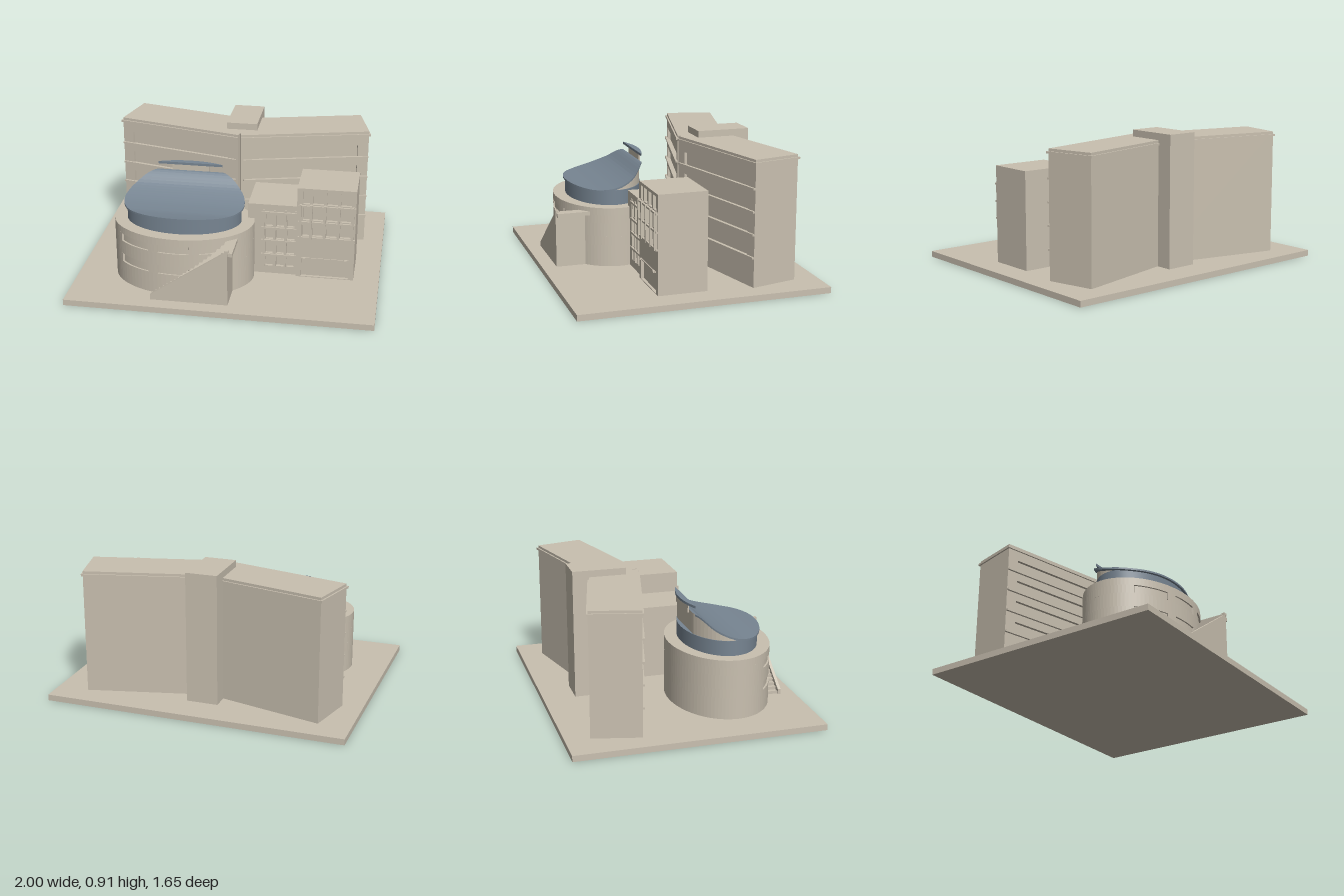
import * as THREE from 'three';

export function createModel() {
  const root = new THREE.Group();
  const stone = new THREE.MeshStandardMaterial({ color: 0xc9c0b0 });
  stone.name = 'stone';
  const glass = new THREE.MeshStandardMaterial({ color: 0x778592 });
  glass.name = 'blue grey';

  const add = (name, geo, mat = stone, parent = root) => {
    const m = new THREE.Mesh(geo, mat);
    m.name = name;
    parent.add(m);
    return m;
  };
  // box given by its extents
  const box = (name, x0, x1, y0, y1, z0, z1, parent = root, mat = stone) => {
    const m = add(name, new THREE.BoxGeometry(Math.abs(x1 - x0), y1 - y0, z1 - z0), mat, parent);
    m.position.set((x0 + x1) / 2, (y0 + y1) / 2, (z0 + z1) / 2);
    return m;
  };
  const rectPoints = (x0, x1, y0, y1) => {
    const a = Math.min(x0, x1), b = Math.max(x0, x1);
    return [[a, y0], [b, y0], [b, y1], [a, y1]].map(p => new THREE.Vector2(...p));
  };
  // upright wall plate with rectangular openings
  const wall = (name, rect, holes, z0, z1, parent = root) => {
    const s = new THREE.Shape(rectPoints(...rect));
    holes.forEach(h => s.holes.push(new THREE.Path(rectPoints(...h))));
    const g = new THREE.ExtrudeGeometry(s, { depth: z1 - z0, bevelEnabled: false });
    g.translate(0, 0, z0);
    return add(name, g, stone, parent);
  };

  box('base', -1, 1, 0, 0.04, -0.825, 0.825);

  // two office wings spread in a shallow V, with a service core behind
  const sills = [0.235, 0.385, 0.532, 0.68];
  for (const s of [1, -1]) {
    const wing = new THREE.Group();
    wing.name = s > 0 ? 'leftWing' : 'rightWing';
    wing.position.set(s * 0.01, 0, -0.143);
    wing.rotation.y = s * 0.238;
    root.add(wing);
    box('wingBody', 0, s * 0.88, 0.04, 0.865, -0.325, -0.02, wing);
    wall('wingFront', [0, s * 0.88, 0.04, 0.865],
      sills.map(y => [s * 0.075, s * 0.805, y, y + 0.087]), -0.02, 0, wing);
    sills.forEach(y => box('windowSill', s * 0.015, s * 0.88, y - 0.006, y + 0.006, -0.005, 0.014, wing));
    box('roofLedge', 0, s * 0.89, 0.834, 0.848, -0.335, 0.01, wing);
  }
  box('serviceCore', -0.105, 0.105, 0.04, 0.91, -0.61, -0.25);

  // oval hall: an inner drum behind a wall with window openings
  const hall = new THREE.Group();
  hall.name = 'ovalHall';
  hall.position.set(-0.295, 0, 0.315);
  root.add(hall);
  const RX = 0.465, RZ = 0.335;
  const oval = (name, rx, rz, y0, y1, mat) => {
    const g = new THREE.CylinderGeometry(1, 1, y1 - y0, 96);
    g.scale(rx, 1, rz);
    g.translate(0, (y0 + y1) / 2, 0);
    return add(name, g, mat, hall);
  };
  oval('innerDrum', RX * 0.97, RZ * 0.97, 0.04, 0.44, stone);
  // curved wall piece between two angles, measured from +x towards the front
  const arcWall = (name, a0, a1, y0, y1) => {
    const pts = [], n = Math.max(3, Math.ceil((a1 - a0) * 15));
    for (let i = 0; i <= n; i++) {
      const a = a0 + (a1 - a0) * i / n;
      pts.push(new THREE.Vector2(RX * Math.cos(a), -RZ * Math.sin(a)));
    }
    for (let i = n; i >= 0; i--) pts.push(pts[i].clone().multiplyScalar(0.96));
    const g = new THREE.ExtrudeGeometry(new THREE.Shape(pts), { depth: y1 - y0, bevelEnabled: false });
    g.rotateX(-Math.PI / 2);
    g.translate(0, y0, 0);
    add(name, g, stone, hall);
  };
  for (const [y0, y1] of [[0.04, 0.185], [0.245, 0.337], [0.39, 0.44]])
    for (let i = 0; i < 2; i++) arcWall('hallBand', i * Math.PI, (i + 1) * Math.PI, y0, y1);
  const angleAt = x => Math.acos((x + 0.295) / RX);
  const edges = [0.06, -0.14, -0.205, -0.41, -0.475, -0.675].map(angleAt);
  for (const [y0, y1] of [[0.185, 0.245], [0.337, 0.39]]) {
    arcWall('hallPier', edges[1], edges[2], y0, y1);
    arcWall('hallPier', edges[3], edges[4], y0, y1);
    arcWall('hallBackWall', edges[5], Math.PI + 1.5, y0, y1);
    arcWall('hallBackWall', Math.PI + 1.5, Math.PI * 2 + edges[0], y0, y1);
  }
  oval('glassDrum', 0.38, 0.25, 0.44, 0.54, glass);

  // swept roof: its height depends on z only (local to the hall)
  const curve = new THREE.SplineCurve([[-0.3, 0.685], [-0.215, 0.685], [-0.12, 0.612], [0, 0.562],
    [0.12, 0.543], [0.2, 0.545], [0.28, 0.555]].map(p => new THREE.Vector2(...p)));
  const samples = curve.getPoints(120);
  const roofY = z => {
    if (z < -0.215) return 0.685;
    let i = 1;
    while (i < samples.length - 1 && samples[i].x < z) i++;
    const a = samples[i - 1], b = samples[i];
    return a.y + (b.y - a.y) * (z - a.x) / (b.x - a.x);
  };
  const quadGeometry = quads => {
    const pos = [];
    for (const [a, b, c, d] of quads) pos.push(...a, ...b, ...c, ...a, ...c, ...d);
    const g = new THREE.BufferGeometry();
    g.setAttribute('position', new THREE.Float32BufferAttribute(pos, 3));
    g.computeVertexNormals();
    return g;
  };
  const rows = [], end = Math.acos(-0.22 / 0.263);
  for (let i = 0; i <= 32; i++) {
    const t = end * i / 32, x = 0.4 * Math.sin(t), z = 0.263 * Math.cos(t), y = roofY(z);
    rows.push([[-x, y, z], [x, y, z], [x, y - 0.012, z], [-x, y - 0.012, z]]);
  }
  const quads = [];
  for (let i = 0; i < 32; i++) {
    const p = rows[i], q = rows[i + 1];
    for (let k = 0; k < 4; k++) quads.push([p[k], p[(k + 1) % 4], q[(k + 1) % 4], q[k]]);
  }
  quads.push([...rows[32]].reverse());
  add('sweptRoof', quadGeometry(quads), glass, hall);

  // infill wall from the glass up to the roof
  const infill = [], rim = i => {
    const a = i / 64 * Math.PI * 2, x = 0.375 * Math.sin(a), z = Math.max(-0.22, 0.246 * Math.cos(a));
    return [[x, 0.52, z], [x, roofY(z) - 0.006, z]];
  };
  for (let i = 0; i < 64; i++) {
    const [a, b] = rim(i), [c, d] = rim(i + 1);
    infill.push([a, c, d, b]);
  }
  const infillStone = stone.clone();
  infillStone.side = THREE.DoubleSide;
  add('roofInfill', quadGeometry(infill), infillStone, hall);

  // raised canopy completing the oval behind the roof
  const seg = [];
  for (let i = 0; i <= 20; i++) {
    const a = Math.PI / 2 - 0.58 + 1.16 * i / 20;
    seg.push(new THREE.Vector2(0.4 * Math.cos(a), 0.26 * Math.sin(a)));
  }
  const canopy = new THREE.ExtrudeGeometry(new THREE.Shape(seg), { depth: 0.016, bevelEnabled: false });
  canopy.rotateX(-Math.PI / 2);
  canopy.translate(0, 0.724, 0);
  add('rearCanopy', canopy, glass, hall);
  box('canopySupport', -0.125, 0.125, 0.67, 0.726, -0.24, -0.23, hall);

  // outside stair with solid sloping parapet and landing
  const para = new THREE.Shape([[-0.445, 0.04], [0.06, 0.04], [0.06, 0.425], [-0.445, 0.075]]
    .map(p => new THREE.Vector2(...p)));
  const paraGeo = new THREE.ExtrudeGeometry(para, { depth: 0.02, bevelEnabled: false });
  paraGeo.translate(0, 0, 0.71);
  add('stairParapet', paraGeo);
  for (let i = 0; i < 17; i++) {
    const x = -0.43 + i * 0.0265;
    box('stairStep', x, x + 0.0265, 0.04, 0.06 + i * 0.02, 0.45, 0.71);
  }
  box('landingSupport', 0.02, 0.06, 0.04, 0.385, 0.45, 0.71);
  box('landing', 0.02, 0.09, 0.385, 0.41, 0.45, 0.722);
  box('landingParapet', 0.04, 0.065, 0.41, 0.43, 0.71, 0.732);

  // lower annex with a tall window grid
  const cells = (xs, ys) => xs.flatMap(x => ys.map(y => [...x, ...y]));
  box('lowAnnexBody', 0.12, 0.54, 0.04, 0.545, -0.1, 0.23);
  wall('lowAnnexFront', [0.12, 0.446, 0.04, 0.545],
    cells([[0.238, 0.287], [0.31, 0.36], [0.38, 0.43]],
      [[0.095, 0.17], [0.19, 0.275], [0.295, 0.365], [0.39, 0.48]]), 0.23, 0.25);
  [0.225, 0.299, 0.37, 0.438].forEach(x => box('lowMullion', x - 0.007, x + 0.007, 0.095, 0.51, 0.245, 0.258));
  [0.18, 0.285, 0.378, 0.49].forEach(y => box('lowTransom', 0.21, 0.445, y - 0.007, y + 0.007, 0.245, 0.264));

  // taller annex with upper window grid and entrance
  box('tallAnnexBody', 0.445, 0.83, 0.04, 0.685, -0.055, 0.25);
  wall('tallAnnexFront', [0.445, 0.83, 0.04, 0.685], [
    ...cells([[0.485, 0.527], [0.548, 0.618], [0.64, 0.71], [0.73, 0.8]],
      [[0.345, 0.435], [0.46, 0.55], [0.575, 0.665]]),
    [0.48, 0.795, 0.045, 0.18]], 0.25, 0.27);
  [0.47, 0.538, 0.629, 0.72, 0.812].forEach(x =>
    box('tallMullion', x - 0.007, x + 0.007, 0.33, 0.575, 0.265, 0.29));
  [0.335, 0.447, 0.562].forEach(y => box('tallTransom', 0.455, 0.83, y - 0.006, y + 0.006, 0.265, 0.284));
  [0.5, 0.775].forEach(x => box('entranceBracket', x - 0.008, x + 0.008, 0.178, 0.188, 0.26, 0.288));
  box('entranceLintel', 0.48, 0.795, 0.18, 0.186, 0.265, 0.276);

  return root;
}
